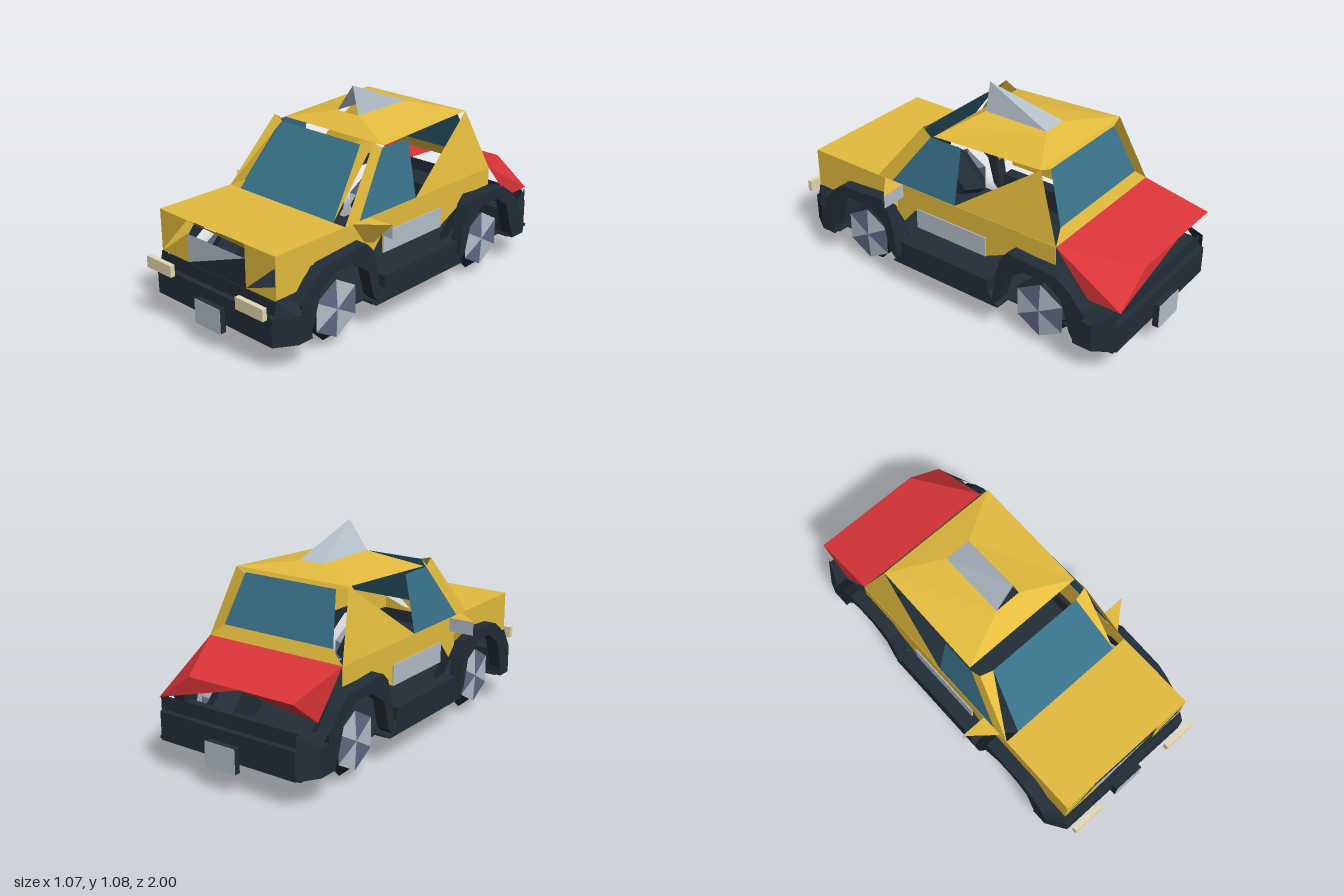
import * as THREE from 'three';

const mat = (name, color) => {
  const m = new THREE.MeshStandardMaterial({ color, side: THREE.DoubleSide });
  m.name = name;
  return m;
};

export function createModel() {
  const car = new THREE.Group();
  car.name = 'car';
  const yellow = mat('yellow paint', 0xe4bc3e);
  const red = mat('red paint', 0xdc3539);
  const dark = mat('dark trim', 0x222d37);
  const glass = mat('blue glass', 0x39728a);
  const grey = mat('grey metal', 0xb4bfca);
  const slate = mat('slate metal', 0x5f6c86);
  const cream = mat('cream lamp', 0xe6dab0);

  const add = (name, geometry, material, x = 0, y = 0, z = 0) => {
    const mesh = new THREE.Mesh(geometry, material);
    mesh.name = name;
    mesh.position.set(x, y, z);
    car.add(mesh);
    return mesh;
  };
  // Flat polygon through corner points, faceted
  const panel = (name, material, ...pts) => {
    const pos = [];
    for (let i = 1; i < pts.length - 1; i++) pos.push(...pts[0], ...pts[i], ...pts[i + 1]);
    const g = new THREE.BufferGeometry();
    g.setAttribute('position', new THREE.Float32BufferAttribute(pos, 3));
    g.computeVertexNormals();
    return add(name, g, material);
  };
  const box = (name, material, w, h, d, x, y, z) => add(name, new THREE.BoxGeometry(w, h, d), material, x, y, z);
  const shape = pts => new THREE.Shape(pts.map(p => new THREE.Vector2(...p)));
  // Outline in (z, y), thickened along x and centred on x
  const sideSlab = (name, material, pts, x, depth) => {
    const g = new THREE.ExtrudeGeometry(shape(pts), { depth, bevelEnabled: false });
    g.translate(0, 0, -depth / 2).rotateY(-Math.PI / 2);
    return add(name, g, material, x);
  };
  // Outline in (x, z), thickened downward from the given top
  const planSlab = (name, material, pts, top, depth) => {
    const g = new THREE.ExtrudeGeometry(shape(pts), { depth, bevelEnabled: false });
    g.rotateX(Math.PI / 2);
    return add(name, g, material, 0, top);
  };

  // Chassis: floor, bumpers and sills
  planSlab('floor', dark, [[-0.4, 0.93], [0.4, 0.93], [0.44, 0.75], [0.38, 0.75], [0.38, 0.34], [0.44, 0.34],
    [0.44, -0.33], [0.38, -0.33], [0.38, -0.75], [0.44, -0.75], [0.42, -0.95], [-0.42, -0.95], [-0.44, -0.75],
    [-0.38, -0.75], [-0.38, -0.33], [-0.44, -0.33], [-0.44, 0.34], [-0.38, 0.34], [-0.38, 0.75], [-0.44, 0.75]], 0.16, 0.012);
  for (const [name, e, inner] of [['frontBumper', 0.945, 0.76], ['rearBumper', -0.96, -0.76]]) {
    const c = e - Math.sign(e) * 0.1;
    planSlab(name, dark, [[-0.465, inner], [-0.465, c], [-0.4, e], [0.4, e], [0.465, c], [0.465, inner]], 0.29, 0.142);
    const z = e - Math.sign(e) * 0.03;
    panel(name + 'Top', dark, [-0.4, 0.29, z], [0.4, 0.29, z], [0.4, 0.36, z], [-0.4, 0.36, z]);
  }
  for (const s of [-1, 1]) {
    sideSlab('sill', dark, [[0.34, 0.15], [0.28, 0.22], [0.28, 0.285], [-0.27, 0.285], [-0.27, 0.22], [-0.33, 0.15]], s * 0.43, 0.07);
    panel('frontCornerTrim', dark, [s * 0.465, 0.29, 0.85], [s * 0.465, 0.33, 0.76], [s * 0.4, 0.36, 0.91], [s * 0.4, 0.29, 0.93]);
    panel('rearCornerTrim', dark, [s * 0.465, 0.29, -0.86], [s * 0.465, 0.36, -0.79], [s * 0.4, 0.36, -0.95], [s * 0.4, 0.29, -0.95]);
  }

  // Wheel arches and faceted wheels
  const arch = [[0.23, 0.15], [0.27, 0.33], [0.19, 0.42], [0.12, 0.47], [-0.15, 0.49], [-0.19, 0.45], [-0.22, 0.35], [-0.25, 0.15],
    [-0.2, 0.2], [-0.16, 0.35], [-0.06, 0.42], [0.06, 0.42], [0.15, 0.36], [0.2, 0.2]];
  for (const s of [-1, 1]) for (const [z, dir] of [[0.555, 1], [-0.54, -1]]) {
    sideSlab('wheelArch', dark, arch.map(([a, b]) => [z + dir * a, b]), s * 0.432, 0.066);
    for (const side of [-1, 1]) {
      const half = new THREE.CylinderGeometry(0.125, 0.2, 0.087, 4).toNonIndexed();
      half.computeVertexNormals();
      half.rotateZ(-side * Math.PI / 2);
      add('tyre', half, dark, s * 0.323 + side * 0.0435, 0.2, z);
    }
    // Six-sided hub cap with alternating light and slate facets
    for (let i = 0; i < 6; i++) {
      const rim = k => [s * 0.413, 0.2 + 0.148 * Math.cos(k * Math.PI / 3), z + 0.148 * Math.sin(k * Math.PI / 3)];
      panel('hubFacet', i % 2 ? grey : slate, rim(i), rim(i + 1), [s * 0.422, 0.2, z]);
    }
  }

  // Lower body sides with wheel cutouts and door stripes
  for (const s of [-1, 1]) {
    sideSlab('bodySide', yellow, [[0.91, 0.575], [0.91, 0.365], [0.78, 0.365], [0.7, 0.46], [0.4, 0.46], [0.31, 0.365],
      [0.22, 0.47], [0.22, 0.365], [-0.21, 0.365], [-0.46, 0.48], [-0.61, 0.48], [-0.61, 0.575]], s * 0.395, 0.004);
    box('doorStripe', grey, 0.006, 0.105, 0.43, s * 0.4, 0.417, 0.005);
  }

  // Bonnet and broken front face
  panel('bonnet', yellow, [-0.395, 0.575, 0.475], [-0.395, 0.575, 0.91], [0.395, 0.575, 0.91], [0.395, 0.575, 0.475]);
  panel('bonnetLip', yellow, [-0.2, 0.57, 0.91], [0.2, 0.574, 0.91], [0.2, 0.51, 0.85]);
  panel('noseRight', yellow, [-0.395, 0.575, 0.91], [-0.395, 0.365, 0.91], [-0.2, 0.57, 0.91]);
  panel('noseRightLower', yellow, [-0.395, 0.36, 0.91], [-0.2, 0.36, 0.91], [-0.2, 0.505, 0.91]);
  panel('noseLeft', yellow, [0.2, 0.575, 0.91], [0.2, 0.36, 0.91], [0.395, 0.52, 0.91], [0.395, 0.575, 0.91]);
  panel('noseLeftLower', yellow, [0.2, 0.36, 0.91], [0.395, 0.36, 0.91], [0.395, 0.43, 0.91]);
  panel('grille', grey, [-0.2, 0.505, 0.91], [-0.2, 0.36, 0.91], [0.2, 0.505, 0.91]);
  panel('grilleLower', dark, [0.2, 0.505, 0.91], [-0.2, 0.36, 0.91], [0.2, 0.36, 0.91]);

  // Boot lid folded down at its left rear corner, with broken tail and sides
  const hingeL = [0.395, 0.575, -0.61], hingeR = [-0.395, 0.575, -0.61];
  const edgeR = [-0.395, 0.505, -0.965], edgeL = [0.2, 0.505, -0.965], edgeMid = [-0.1, 0.505, -0.965];
  const cornerL = [0.395, 0.365, -0.965], lowL = [0.395, 0.365, -0.79], lowR = [-0.395, 0.365, -0.79];
  panel('bootLid', red, hingeR, edgeR, edgeL, hingeL);
  panel('bootFold', red, hingeL, edgeL, cornerL);
  panel('tailLeft', red, cornerL, edgeL, edgeMid);
  panel('tailRight', red, lowR, edgeR, edgeMid);
  panel('bootSideLeft', red, hingeL, cornerL, lowL);
  panel('bootSideRight', red, hingeR, edgeR, lowR);

  // Cabin glass
  panel('windscreen', glass, [-0.32, 0.575, 0.475], [0.32, 0.575, 0.475], [0.265, 0.88, 0.235], [-0.265, 0.88, 0.235]);
  panel('rearWindow', glass, [0.325, 0.63, -0.585], [-0.325, 0.63, -0.585], [-0.268, 0.88, -0.485], [0.268, 0.88, -0.485]);
  panel('rearShelf', yellow, [-0.395, 0.575, -0.61], [0.395, 0.575, -0.61], [0.325, 0.635, -0.585], [-0.325, 0.635, -0.585]);

  // Pillars and side windows lie in one leaning plane on each side
  for (const s of [-1, 1]) {
    const at = (z, y) => [s * (0.395 - (y - 0.575) * 0.19), y, z];
    panel('sideWindow', glass, at(0.38, 0.575), at(0.165, 0.865), at(-0.02, 0.865), at(-0.02, 0.575));
    panel('frontPillar', yellow, at(0.475, 0.575), at(0.22, 0.9), at(0.165, 0.865), at(0.38, 0.575));
    panel('frontPillarFace', yellow, [s * 0.265, 0.88, 0.235], at(0.22, 0.9), s > 0 ? [0.32, 0.575, 0.475] : at(0.475, 0.575));
    panel('rearPillar', yellow, at(-0.02, 0.575), at(-0.475, 0.9), at(-0.61, 0.575));

    // Door mirrors: glass plate behind a slanted pointed housing
    const tip = [s * 0.535, 0.575, 0.312], front = [s * 0.395, 0.575, 0.43];
    panel('mirrorGlass', grey, [s * 0.395, 0.575, 0.31], [s * 0.535, 0.575, 0.31], [s * 0.535, 0.505, 0.31], [s * 0.395, 0.505, 0.31]);
    panel('mirrorTop', yellow, [s * 0.395, 0.575, 0.312], tip, front);
    panel('mirrorFront', yellow, tip, front, [s * 0.395, 0.46, 0.35], [s * 0.43, 0.46, 0.32]);
  }

  // Roof slopes up to an opening under the roof sign
  const outer = [[-0.335, 0.87, 0.15], [0.335, 0.87, 0.15], [0.333, 0.9, -0.475], [-0.333, 0.9, -0.475]];
  const inner = [[-0.07, 0.935, 0.04], [0.07, 0.935, 0.04], [0.07, 0.935, -0.32], [-0.07, 0.935, -0.32]];
  for (let i = 0; i < 4; i++) {
    const j = (i + 1) % 4;
    panel('roof', yellow, outer[i], outer[j], inner[j], inner[i]);
  }
  panel('roofRearEdge', yellow, outer[2], outer[3], [-0.268, 0.88, -0.485], [0.268, 0.88, -0.485]);

  // Roof sign: wedge open at the front
  const peak = [0.035, 1.08, 0.04];
  for (let i = 1; i < 4; i++) panel('roofSign', grey, inner[i], inner[(i + 1) % 4], peak);

  // Lamps and number plates
  for (const s of [-1, 1]) {
    box('headlamp', cream, 0.178, 0.06, 0.025, s * 0.316, 0.33, 0.987);
    box('numberPlate', grey, 0.176, 0.125, 0.003, 0, 0.172, s > 0 ? 0.976 : -0.998);
    box('plateMount', dark, 0.174, 0.123, 0.032, 0, 0.172, s > 0 ? 0.958 : -0.98);
  }
  return car;
}
